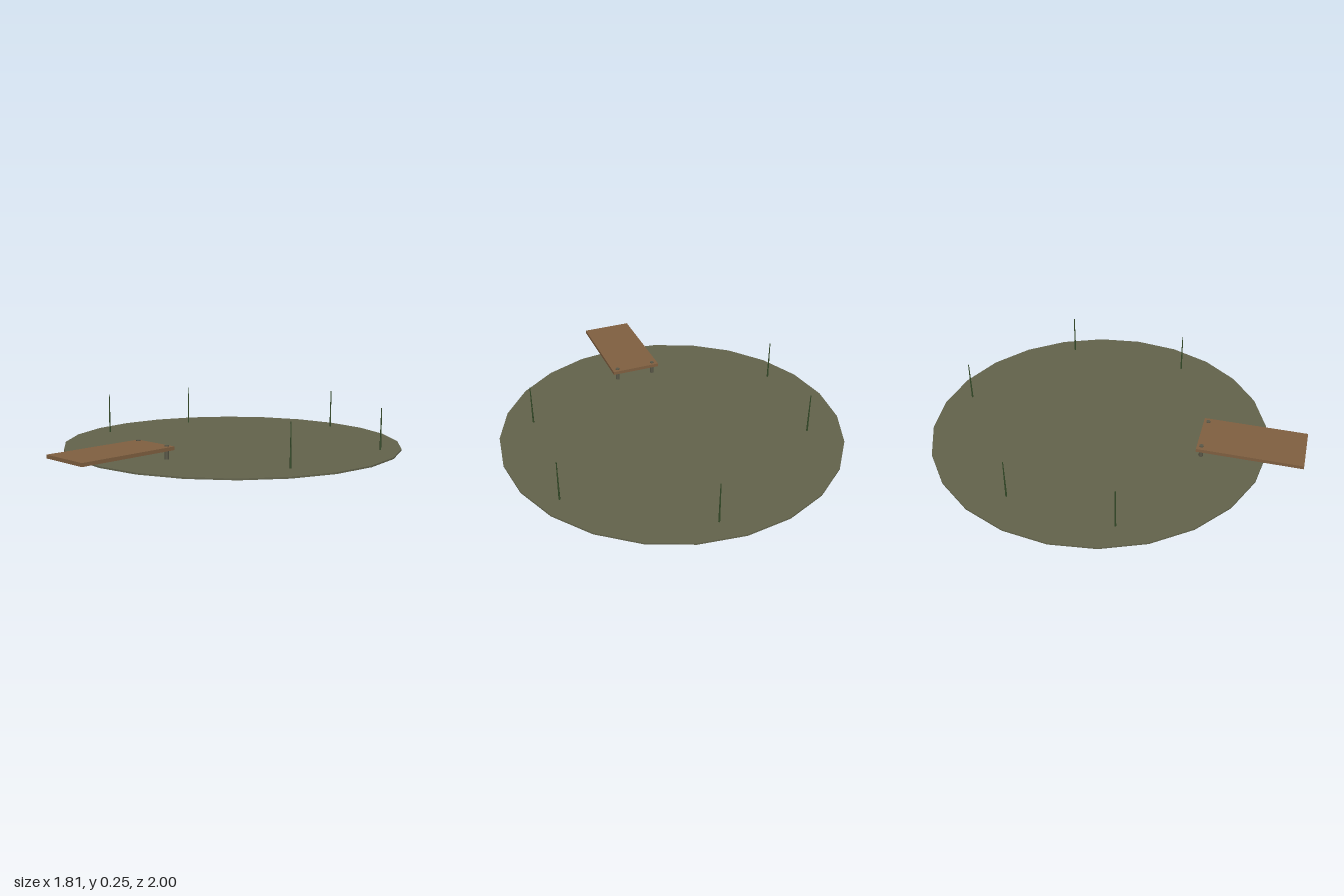
import * as THREE from 'three';

const mat = (name, color, flat = true) => {
  const m = new THREE.MeshStandardMaterial({ color, flatShading: flat });
  m.name = name;
  return m;
};

export function createModel() {
  const group = new THREE.Group();
  group.name = 'pondWithJetty';

  const water = mat('murky olive water', 0x62624b);
  const wood = mat('plank brown', 0x7f5f40);
  const post = mat('weathered post', 0x5a5848, false);
  const reed = mat('reed green', 0x344a28);

  const add = (name, geometry, material, x, y, z) => {
    const mesh = new THREE.Mesh(geometry, material);
    mesh.name = name;
    mesh.position.set(x, y, z);
    group.add(mesh);
    return mesh;
  };

  // Thin 24-sided water disc
  add('waterSurface', new THREE.CylinderGeometry(0.903, 0.903, 0.008, 24), water, 0, 0.031, -0.097);

  // Jetty deck overhanging the near shore
  add('jettyDeck', new THREE.BoxGeometry(0.272, 0.018, 0.548), wood, 0, 0.09, 0.726);

  // Two posts, their tops just proud of the deck
  const postGeometry = new THREE.CylinderGeometry(0.011, 0.011, 0.104, 8);
  for (const side of [-1, 1]) {
    add(side > 0 ? 'leftPost' : 'rightPost', postGeometry, post, side * 0.106, 0.052, 0.476);
  }

  // Slim tapered reeds scattered around the rim
  const reedGeometry = new THREE.CylinderGeometry(0.0025, 0.005, 0.23, 5);
  const reeds = [[0.083, -0.875], [0.714, -0.455], [-0.652, -0.39], [-0.716, 0.178], [0.671, 0.22]];
  reeds.forEach(([x, z], i) => add('reed' + (i + 1), reedGeometry, reed, x, 0.138, z));

  return group;
}
